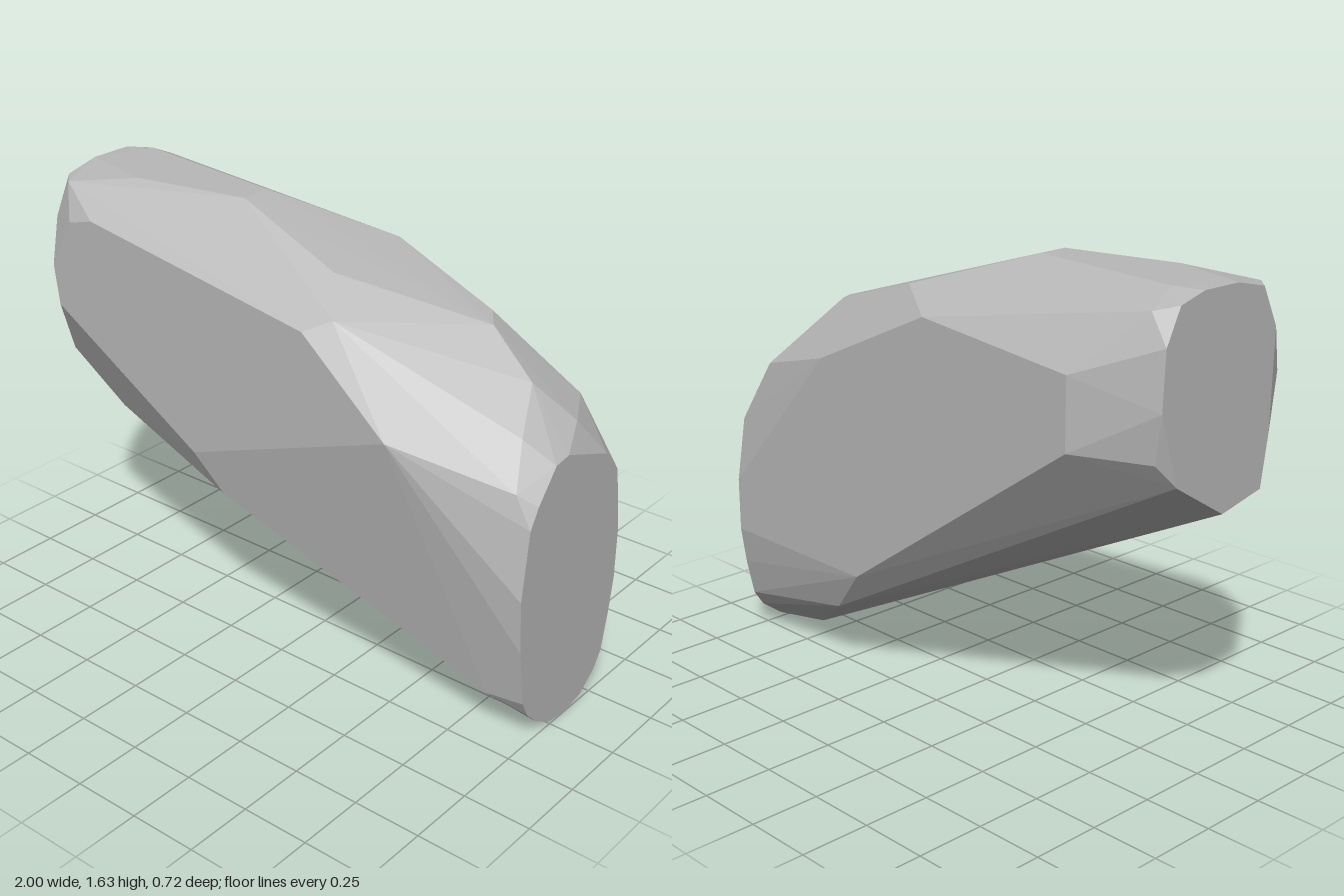
import * as THREE from 'three';
import { ConvexGeometry } from 'three/addons/geometries/ConvexGeometry.js';

const v = (x, y, z) => new THREE.Vector3(x, y, z);

export function createModel() {
  const group = new THREE.Group();
  group.name = 'rock';
  const stone = new THREE.MeshStandardMaterial({ color: 0xb8b8b8 });
  stone.name = 'grey stone';

  // large oval end, as [z, y] at x = 1
  const largeEnd = [
    [0, 1.04], [0.07, 1.03], [0.16, 0.92], [0.2, 0.85], [0.23, 0.6], [0.215, 0.4],
    [0.18, 0.18], [0.15, 0.12], [0.09, 0.06], [0, 0.01], [-0.1, 0], [-0.19, 0.02],
    [-0.27, 0.08], [-0.31, 0.14], [-0.34, 0.28], [-0.36, 0.42], [-0.36, 0.62],
    [-0.32, 0.86], [-0.24, 0.95],
  ].map(([z, y]) => v(1, y, z));

  // small end, as [z, y] at x = -1
  const smallEnd = [
    [0.1, 1.63], [0.23, 1.6], [0.3, 1.46], [0.29, 1.11], [0.26, 0.93], [0.07, 0.89],
    [-0.16, 1.03], [-0.24, 1.28], [-0.23, 1.48], [-0.17, 1.6], [-0.06, 1.63],
  ].map(([z, y]) => v(-1, y, z));

  // broad front and back faces, as [x, y]
  const frontFace = [
    [-0.76, 1.51], [0.2, 1.36], [0.54, 1.07], [-0.3, 0.76],
    [-0.95, 1.15], [-0.97, 1.3], [-0.87, 1.48],
  ].map(([x, y]) => v(x, y, 0.36));
  const backFace = [
    [-0.07, 1.44], [0.47, 1.2], [0.3, 0.42], [-0.72, 1.12], [-0.72, 1.37],
  ].map(([x, y]) => v(x, y, -0.36));

  // chipped crown and shoulders
  const crown = [
    v(-0.7, 1.635, 0.18), v(-0.27, 1.635, 0.1), v(-0.28, 1.635, -0.02),
    v(-0.9, 1.635, -0.1), v(-0.93, 1.58, -0.22), v(-0.94, 1.6, 0.29),
    v(0.18, 1.5, 0.17), v(0.28, 1.4, 0.3), v(0.14, 1.5, -0.23),
    v(0.64, 1.36, -0.08), v(0.58, 1.37, -0.16), v(0.83, 1.23, -0.03),
    v(0.9, 1.11, 0.12), v(0.94, 0.96, 0.2), v(0.95, 1.1, -0.12), v(0.85, 1.1, -0.3),
  ];

  // sloping underside
  const underside = [
    v(-0.19, 0.62, 0.33), v(-0.76, 0.76, 0.25), v(0.86, 0.17, 0.19),
    v(0.81, 0.02, -0.12), v(0.47, 0.24, -0.31), v(-0.97, 1.11, -0.23),
  ];

  const rock = new THREE.Mesh(
    new ConvexGeometry([...largeEnd, ...smallEnd, ...frontFace, ...backFace, ...crown, ...underside]),
    stone
  );
  rock.name = 'rockBody';
  group.add(rock);
  return group;
}
